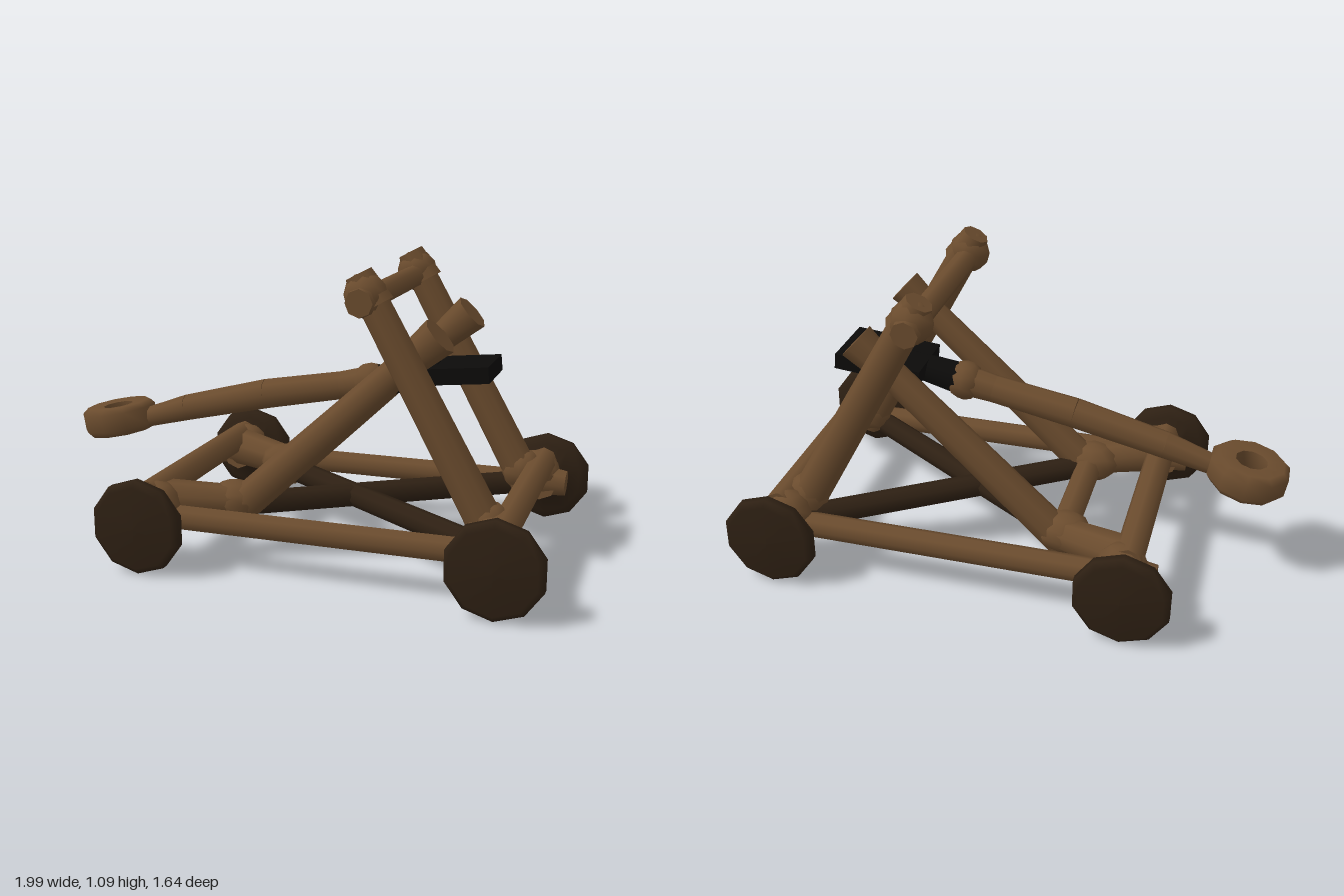
import * as THREE from 'three';

const wood = new THREE.MeshStandardMaterial({ color: 0x6b4c2e });
const darkWood = new THREE.MeshStandardMaterial({ color: 0x2e2013 });
const black = new THREE.MeshStandardMaterial({ color: 0x0c0b0a });
const V = (x, y, z) => new THREE.Vector3(x, y, z);
const UP = V(0, 1, 0);

export function createModel() {
  const model = new THREE.Group();
  model.name = 'catapult';

  function add(name, geometry, material = wood) {
    const mesh = new THREE.Mesh(geometry, material);
    mesh.name = name;
    model.add(mesh);
    return mesh;
  }

  // Round beam between two points, with a radius for each end
  function rod(name, a, b, r0, r1 = r0, material = wood) {
    const dir = b.clone().sub(a);
    const mesh = add(name, new THREE.CylinderGeometry(r1, r0, dir.length(), 8), material);
    mesh.position.copy(a).add(b).multiplyScalar(0.5);
    mesh.quaternion.setFromUnitVectors(UP, dir.normalize());
  }

  // Rounded lump where beams meet
  function joint(name, p, r, sx = 1, sy = 1, sz = 1) {
    const mesh = add(name, new THREE.SphereGeometry(r, 8, 6));
    mesh.position.copy(p);
    mesh.scale.set(sx, sy, sz);
  }

  // Wheel turned around its axle, with a hub flaring on the inside
  const wheelGeometry = new THREE.LatheGeometry([
    [0, -0.12], [0.055, -0.12], [0.06, -0.06], [0.14, -0.035], [0.172, -0.014],
    [0.172, 0.014], [0.15, 0.032], [0, 0.038],
  ].map(([r, h]) => new THREE.Vector2(r, h)), 10);

  // Base: cross beams, wheels and short axle stubs at the front and rear
  for (const end of [-1, 1]) {
    const x = 0.635 * end;
    rod('crossBeam', V(x, 0.26, -0.44), V(x, 0.26, 0.44), 0.052);
    for (const side of [-1, 1]) {
      rod('axleStub', V(x, 0.19, 0.36 * side), V(x, 0.18, 0.5 * side), 0.065, 0.055);
      const wheel = add('wheel', wheelGeometry, darkWood);
      wheel.position.set(x, 0.173, 0.525 * side);
      wheel.rotation.x = side * Math.PI / 2;
      joint('cornerJoint', V(x - 0.02 * end, 0.22, 0.41 * side), 0.088, 1.05, 1, 0.9);
      // Rail end poking out past the cross beam
      rod('railEnd', V(x, 0.19, 0.405 * side), V(x + 0.095 * end, 0.185, 0.405 * side), 0.062, 0.05);
    }
  }

  for (const side of [-1, 1]) {
    // Side rails
    rod('sideRail', V(-0.64, 0.18, 0.41 * side), V(0.64, 0.18, 0.41 * side), 0.046);
    // Crossed floor braces
    rod('floorBrace', V(0.6, 0.185, 0.4 * side), V(-0.38, 0.195, -0.25 * side), 0.044, 0.044,
      darkWood);
    // Uprights leaning backwards
    rod('upright', V(0.59, 0.2, 0.325 * side), V(0.13, 1.04, 0.325 * side), 0.068, 0.056);
    joint('uprightFoot', V(0.57, 0.25, 0.325 * side), 0.082);
    rod('uprightHead', V(0.17, 0.965, 0.325 * side), V(0.113, 1.07, 0.325 * side), 0.072, 0.05);
    joint('uprightHeadKnot', V(0.14, 1.0, 0.33 * side), 0.078);
    // Diagonal struts from the rear of the base to past the uprights
    rod('strut', V(-0.38, 0.17, 0.25 * side), V(0.31, 0.81, 0.25 * side), 0.065, 0.052);
    rod('strutHead', V(0.27, 0.77, 0.25 * side), V(0.375, 0.865, 0.25 * side), 0.055, 0.07);
    joint('strutFoot', V(-0.38, 0.21, 0.25 * side), 0.085, 1.2, 0.9, 1);
    // Thick ties between the strut feet and the rear corners
    rod('rearTie', V(-0.36, 0.21, 0.26 * side), V(-0.62, 0.225, 0.36 * side), 0.06, 0.075);
    // Stubs of the top bar outside the uprights
    rod('topBarStub', V(0.14, 0.985, 0.32 * side), V(0.14, 0.985, 0.41 * side), 0.06, 0.048);
  }
  rod('strutCrossBar', V(-0.37, 0.2, -0.27), V(-0.37, 0.2, 0.27), 0.05);
  rod('topBar', V(0.14, 0.985, -0.33), V(0.14, 0.985, 0.33), 0.042);

  // Throwing arm in sections, black towards the counterweight
  const armPath = [
    [-0.86, 0.42, 0.038], [-0.68, 0.475, 0.05], [-0.35, 0.555, 0.056],
    [-0.05, 0.61, 0.052], [0.08, 0.635, 0.06], [0.32, 0.685, 0.045],
  ];
  for (let i = 0; i + 1 < armPath.length; i++) {
    const [x0, y0, r0] = armPath[i];
    const [x1, y1, r1] = armPath[i + 1];
    rod('throwingArm', V(x0, y0, 0), V(x1, y1, 0), r0, r1, i === 4 ? black : wood);
  }
  joint('armKnuckle', V(0.06, 0.63, 0), 0.072);

  // Ring-shaped cup at the rear of the arm
  const cupProfile = [[0.058, 0.05], [0.056, -0.05], [0.125, -0.055], [0.145, -0.03],
    [0.145, 0.035], [0.12, 0.055], [0.058, 0.05]].map(([r, h]) => new THREE.Vector2(r, h));
  const cup = add('cup', new THREE.LatheGeometry(cupProfile, 10), wood.clone());
  cup.material.side = THREE.DoubleSide;
  cup.position.set(-0.98, 0.412, 0);
  cup.rotation.z = 0.17;

  // Counterweight plate at the front of the arm
  const plate = add('counterweight', new THREE.BoxGeometry(0.32, 0.058, 0.24), black);
  plate.position.set(0.355, 0.693, -0.01);
  plate.rotation.z = 0.1;

  // The whole machine stands turned on the ground
  model.rotation.y = -0.41;
  model.position.x = 0.04;
  const root = new THREE.Group();
  root.add(model);
  return root;
}
